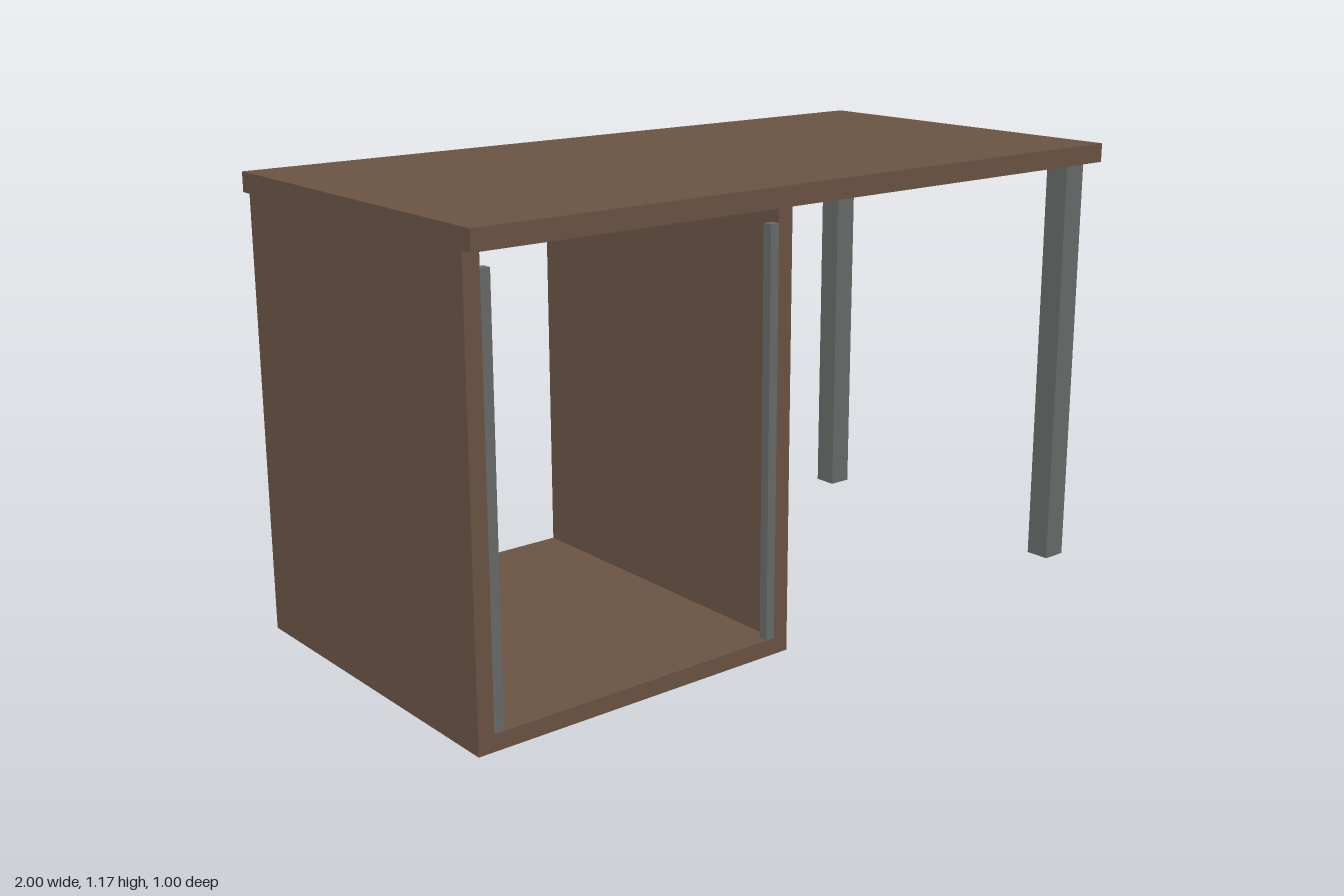
import * as THREE from 'three';

export function createModel() {
  const desk = new THREE.Group();
  desk.name = 'desk';
  const wood = new THREE.MeshStandardMaterial({ color: 0x6b5344 });
  const metal = new THREE.MeshStandardMaterial({ color: 0x666a69 });

  // Box given by its lower and upper corners
  function box(name, material, [x0, y0, z0], [x1, y1, z1]) {
    const mesh = new THREE.Mesh(new THREE.BoxGeometry(x1 - x0, y1 - y0, z1 - z0), material);
    mesh.position.set((x0 + x1) / 2, (y0 + y1) / 2, (z0 + z1) / 2);
    mesh.name = name;
    desk.add(mesh);
  }

  const under = 1.117;  // underside of the top
  const depth = 0.467;  // half depth of cabinet and legs
  const board = 0.042;  // cabinet board thickness
  const bar = 0.025;    // door rail thickness
  const left = -0.095, right = -1; // outer faces of the cabinet

  box('tableTop', wood, [-1, under, -0.5], [1, 1.167, 0.5]);

  // Cabinet, open at front and back
  box('cabinetBottom', wood, [right, 0, -depth], [left, board, depth]);
  box('cabinetOuterSide', wood, [right, board, -depth], [right + board, under, depth]);
  box('cabinetInnerSide', wood, [left - board, board, -depth], [left, under, depth]);

  // Upright rails inside the front opening
  for (const x of [right + board, left - board - bar]) {
    box('frontRail', metal, [x, board, depth - bar], [x + bar, 1.075, depth]);
  }

  // Square legs at the open end
  box('frontLeg', metal, [0.9, 0, 0.4], [0.967, under, depth]);
  box('backLeg', metal, [0.9, 0, -depth], [0.967, under, -0.4]);

  return desk;
}
